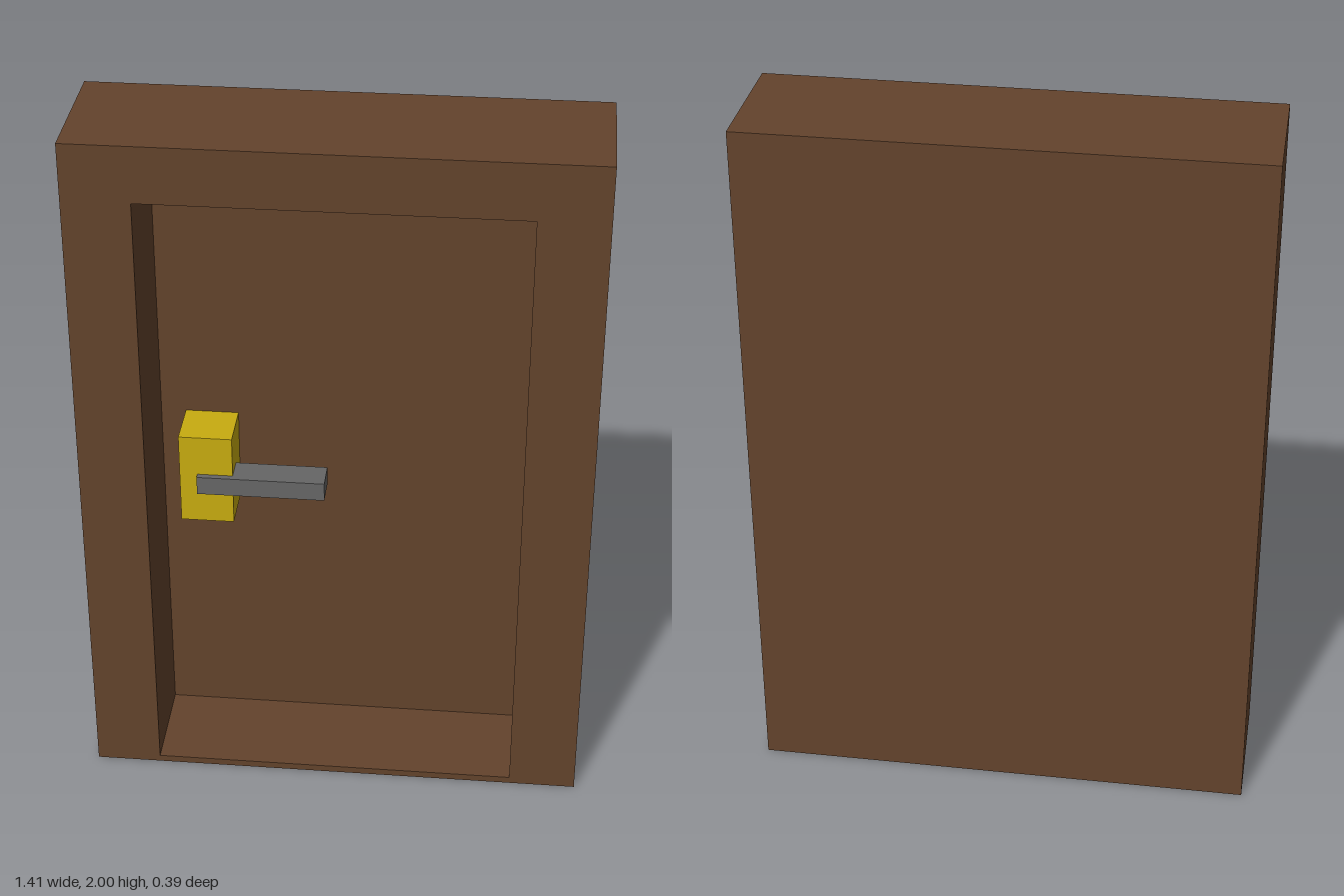
import * as THREE from 'three';

const material = (color) => new THREE.MeshStandardMaterial({ color });

// Box given by its limits on each axis
function box(name, mat, [x0, x1], [y0, y1], [z0, z1]) {
  const mesh = new THREE.Mesh(new THREE.BoxGeometry(x1 - x0, y1 - y0, z1 - z0), mat);
  mesh.position.set((x0 + x1) / 2, (y0 + y1) / 2, (z0 + z1) / 2);
  mesh.name = name;
  return mesh;
}

// Closed rectangular outline
function rectangle(Type, x0, x1, y0, y1) {
  return new Type([[x0, y0], [x1, y0], [x1, y1], [x0, y1]].map(([x, y]) => new THREE.Vector2(x, y)));
}

export function createModel() {
  const model = new THREE.Group();
  model.name = 'door';
  const wood = material(0x63432c);
  const brass = material(0xc8ac10);
  const steel = material(0x666666);

  const halfWidth = 0.705, front = 0.195, back = -0.195, panelFront = -0.095;

  // Deep frame around the recess
  const outline = rectangle(THREE.Shape, -halfWidth, halfWidth, 0, 2);
  outline.holes.push(rectangle(THREE.Path, -0.52, 0.515, 0.02, 1.84));
  const frame = new THREE.Mesh(
    new THREE.ExtrudeGeometry(outline, { depth: front - panelFront, bevelEnabled: false }), wood);
  frame.position.z = panelFront;
  frame.name = 'frame';
  model.add(frame);

  // Door panel closing the back
  model.add(box('doorPanel', wood, [-halfWidth, halfWidth], [0, 2], [back, panelFront]));

  // Lock plate and the lever set into it
  model.add(box('lockPlate', brass, [-0.45, -0.3], [0.775, 1.05], [panelFront, 0.05]));
  model.add(box('handle', steel, [-0.4, -0.04], [0.875, 0.93], [-0.02, 0.067]));

  return model;
}
